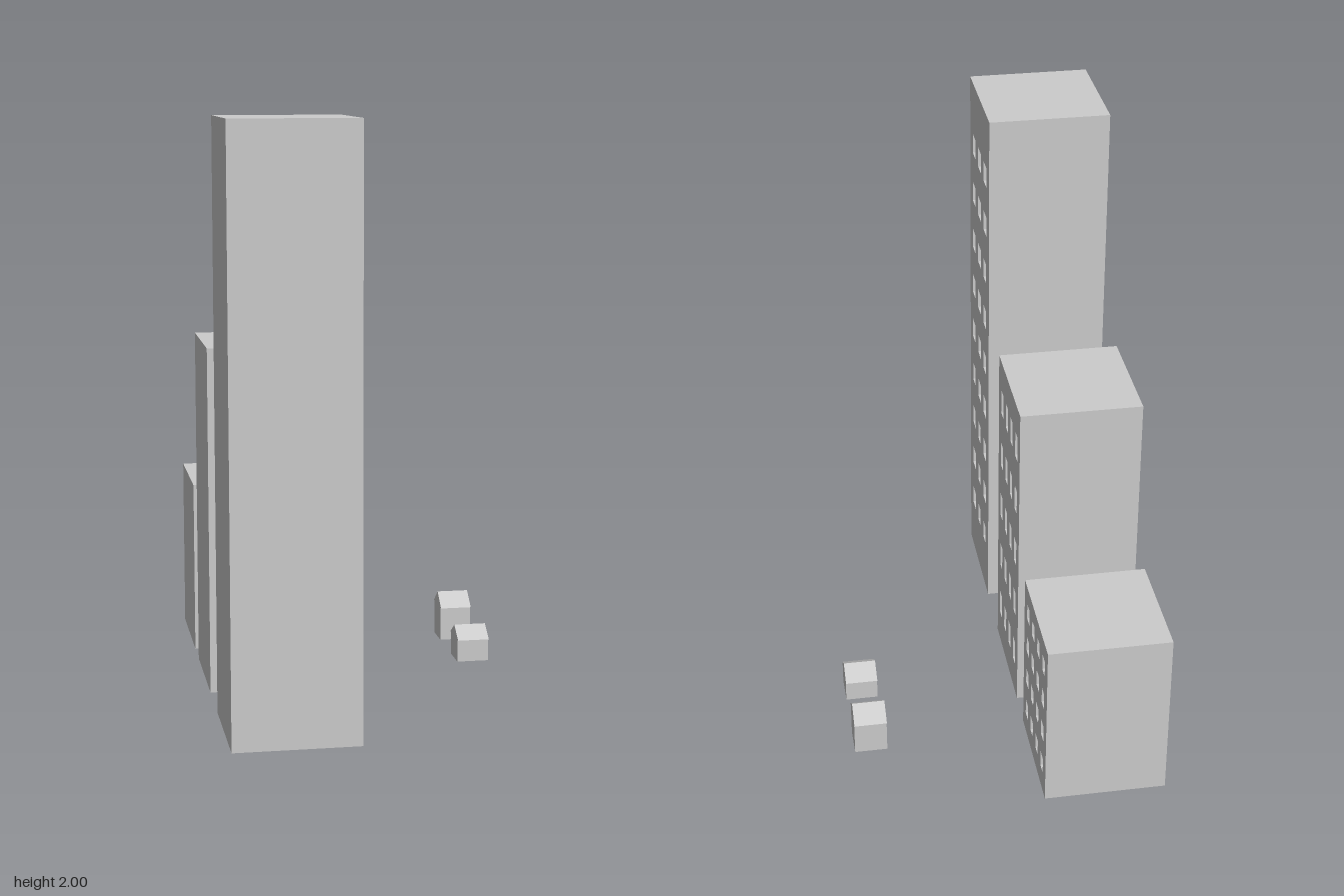
import * as THREE from 'three';

const material = new THREE.MeshStandardMaterial({ color: 0xcccccc, flatShading: true });

const X_BACK = -0.525, X_FACE = -0.1, WIDTH = 0.425;

// Extrudes a (-z, y) outline along +x, starting at x
function extrudeAlongX(shape, x, depth) {
  const geometry = new THREE.ExtrudeGeometry(shape, { depth, bevelEnabled: false });
  return geometry.rotateY(Math.PI / 2).translate(x, 0, 0);
}

function addMesh(group, geometry, name) {
  const mesh = new THREE.Mesh(geometry, material);
  mesh.name = name;
  group.add(mesh);
}

function rectPoints(u, v, w, h) {
  return [[u, v], [u + w, v], [u + w, v + h], [u, v + h]].map(([a, b]) => new THREE.Vector2(a, b));
}

// Block with a facade pierced by a grid of recessed windows on its +x side
function createTower({ name, z, height, cols, rows, winW, winH, pitchZ, pitchY, firstY, recess }) {
  const tower = new THREE.Group();
  tower.name = name;

  const coreDepth = WIDTH - recess;
  const core = new THREE.BoxGeometry(coreDepth, height, WIDTH);
  core.translate(X_BACK + coreDepth / 2, height / 2, z);
  addMesh(tower, core, 'core');

  const facade = new THREE.Shape(rectPoints(-z - WIDTH / 2, 0, WIDTH, height));
  for (let r = 0; r < rows; r++) {
    for (let c = 0; c < cols; c++) {
      const u = -z + (c - (cols - 1) / 2) * pitchZ - winW / 2;
      const v = firstY + r * pitchY - winH / 2;
      facade.holes.push(new THREE.Path(rectPoints(u, v, winW, winH).reverse()));
    }
  }
  addMesh(tower, extrudeAlongX(facade, X_FACE - recess, recess), 'windowedFacade');
  return tower;
}

// Small house: box walls under a gabled roof with overhanging eaves
function createHouse(name, z, eaveY, ridgeY) {
  const house = new THREE.Group();
  house.name = name;
  const x = 0.405, length = 0.115, halfWall = 0.055, halfEave = 0.066;

  const walls = new THREE.BoxGeometry(length, eaveY, halfWall * 2);
  walls.translate(x + length / 2, eaveY / 2, z);
  addMesh(house, walls, 'walls');

  const gable = new THREE.Shape([
    new THREE.Vector2(-z - halfEave, eaveY),
    new THREE.Vector2(-z + halfEave, eaveY),
    new THREE.Vector2(-z, ridgeY),
  ]);
  addMesh(house, extrudeAlongX(gable, x, length), 'roof');
  return house;
}

export function createModel() {
  const model = new THREE.Group();
  model.name = 'cityBlock';

  // Three towers stepping down towards the back
  model.add(
    createTower({
      name: 'tallTower', z: 0.605, height: 2, cols: 3, rows: 9, winW: 0.06, winH: 0.075,
      pitchZ: 0.123, pitchY: 0.191, firstY: 0.237, recess: 0.018,
    }),
    createTower({
      name: 'middleTower', z: -0.05, height: 1.21, cols: 4, rows: 5, winW: 0.043, winH: 0.095,
      pitchZ: 0.0955, pitchY: 0.22, firstY: 0.169, recess: 0.02,
    }),
    createTower({
      name: 'lowTower', z: -0.605, height: 0.625, cols: 4, rows: 4, winW: 0.043, winH: 0.062,
      pitchZ: 0.0955, pitchY: 0.14, firstY: 0.107, recess: 0.02,
    }),
  );

  // Two houses across the street
  model.add(createHouse('lowHouse', -0.118, 0.082, 0.125));
  model.add(createHouse('tallHouse', -0.415, 0.125, 0.175));
  return model;
}
